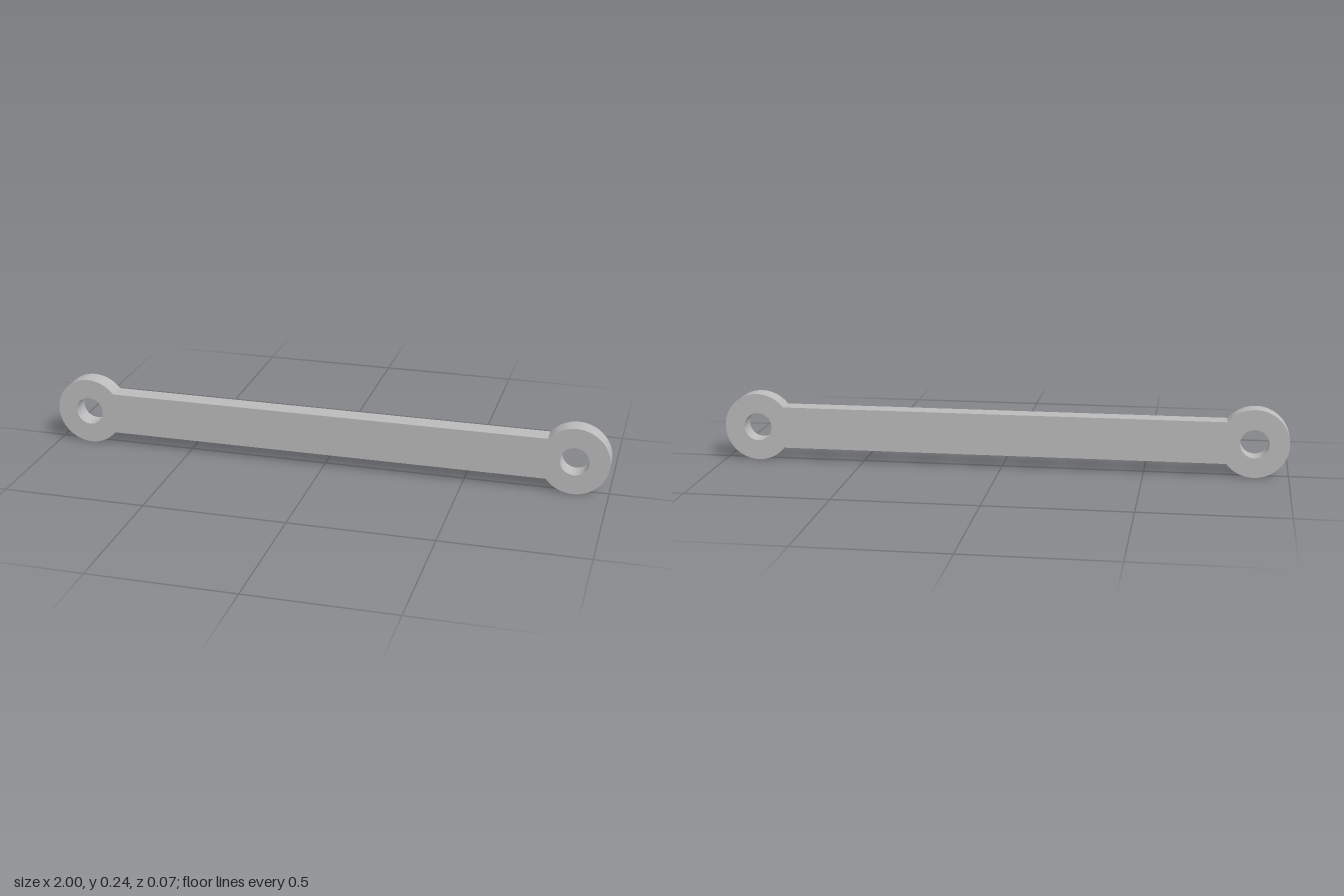
import * as THREE from 'three';
import { toCreasedNormals } from 'three/addons/utils/BufferGeometryUtils.js';

const EYE_X = 0.88;      // distance of each eye from the middle
const EYE_R = 0.12;      // outer radius of the eyes
const HOLE_R = 0.05;
const BAR_HALF = 0.074;  // half the height of the bar
const DEPTH = 0.067;

export function createModel() {
  const group = new THREE.Group();
  group.name = 'linkBar';
  const steel = new THREE.MeshStandardMaterial({ color: 0xbcbcbc });
  steel.name = 'plain grey';

  // Outline: two round eyes joined by the straight edges of the bar
  const t = Math.asin(BAR_HALF / EYE_R);
  const outline = new THREE.Shape();
  outline.absarc(EYE_X, EYE_R, EYE_R, -Math.PI + t, Math.PI - t, false);
  outline.absarc(-EYE_X, EYE_R, EYE_R, t, 2 * Math.PI - t, false);
  outline.closePath();

  // Pin holes through both eyes
  for (const side of [-1, 1]) {
    const hole = new THREE.Path();
    hole.absarc(side * EYE_X, EYE_R, HOLE_R, 0, 2 * Math.PI, true);
    outline.holes.push(hole);
  }

  const flat = new THREE.ExtrudeGeometry(outline, { depth: DEPTH, bevelEnabled: false, curveSegments: 32 });
  flat.translate(0, 0, -DEPTH / 2);
  const link = new THREE.Mesh(toCreasedNormals(flat, Math.PI / 6), steel);
  link.name = 'linkWithEyes';
  group.add(link);
  return group;
}
